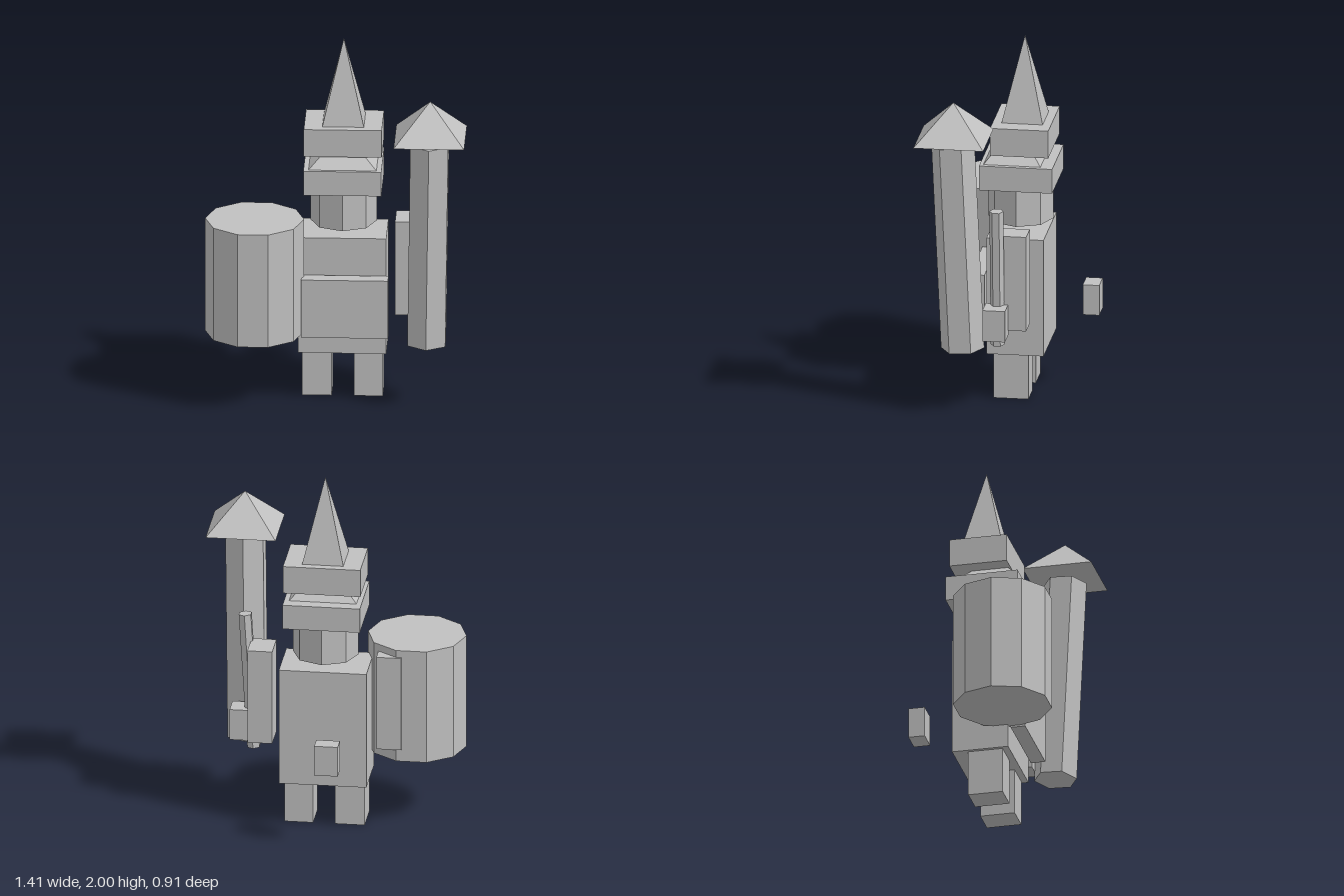
import * as THREE from 'three';

export function createModel() {
  const model = new THREE.Group();
  const stone = new THREE.MeshStandardMaterial({ color: 0xc0c0c0 });
  stone.name = 'plain grey';
  stone.flatShading = true;

  const add = (name, geometry) => {
    const mesh = new THREE.Mesh(geometry, stone);
    mesh.name = name;
    model.add(mesh);
    return mesh;
  };

  // Box given by its limits on each axis
  const box = (name, [x0, x1], [y0, y1], [z0, z1]) =>
    add(name, new THREE.BoxGeometry(x1 - x0, y1 - y0, z1 - z0))
      .position.set((x0 + x1) / 2, (y0 + y1) / 2, (z0 + z1) / 2);

  // Four-sided pyramid with edges parallel to x and z
  const pyramid = (name, x, z, y0, y1, halfX, halfZ) => {
    const g = new THREE.ConeGeometry(Math.SQRT2, y1 - y0, 4).rotateY(Math.PI / 4);
    add(name, g.scale(halfX, 1, halfZ)).position.set(x, (y0 + y1) / 2, z);
  };

  // Prism from a bottom point to a top point, leaning if they differ
  const prism = (name, bottom, top, radius, sides, turn = 0) => {
    const a = new THREE.Vector3(...bottom);
    const b = new THREE.Vector3(...top);
    const dir = b.clone().sub(a);
    const mesh = add(name, new THREE.CylinderGeometry(radius, radius, dir.length(), sides, 1, false, turn));
    mesh.position.copy(a).add(b).multiplyScalar(0.5);
    mesh.quaternion.setFromUnitVectors(new THREE.Vector3(0, 1, 0), dir.normalize());
  };

  // Legs, torso and front panel
  box('rightLeg', [-0.185, -0.025], [0, 0.255], [-0.105, 0.085]);
  box('leftLeg', [0.095, 0.25], [0, 0.255], [-0.105, 0.085]);
  box('torso', [-0.205, 0.27], [0.255, 0.915], [-0.19, 0.12]);
  box('frontPanel', [-0.185, 0.283], [0.375, 0.705], [0.13, 0.21]);

  // Arms and hands
  box('leftArm', [0.315, 0.45], [0.455, 0.99], [-0.122, 0.055]);
  box('rightArm', [-0.385, -0.25], [0.455, 0.99], [-0.122, 0.055]);
  box('leftHand', [0.435, 0.56], [0.425, 0.6], [-0.023, 0.1]);
  box('rightHand', [-0.085, 0.043], [0.425, 0.595], [-0.46, -0.37]);

  // Head and stacked hat
  prism('head', [0.035, 0.965, -0.032], [0.035, 1.175, -0.032], 0.178, 8);
  box('hatBrim', [-0.175, 0.245], [1.175, 1.313], [-0.233, 0.165]);
  pyramid('hatMiddle', 0.035, -0.01, 1.313, 1.49, 0.183, 0.155);
  box('hatBand', [-0.175, 0.245], [1.375, 1.53], [-0.212, 0.105]);
  pyramid('hatTip', 0.035, -0.055, 1.53, 2, 0.112, 0.112);

  // Barrel shield
  prism('barrel', [-0.438, 0.385, 0.145], [-0.438, 1.03, 0.145], 0.267, 10, Math.PI / 2);

  // Thin handle and the large post with its pointed cap
  prism('handle', [0.435, 0.37, 0.035], [0.482, 1.142, 0.035], 0.038, 6);
  prism('post', [0.492, 0.361, 0.217], [0.51, 1.524, 0.267], 0.118, 6);
  pyramid('postCap', 0.513, 0.265, 1.555, 1.76, 0.19, 0.19);

  return model;
}
